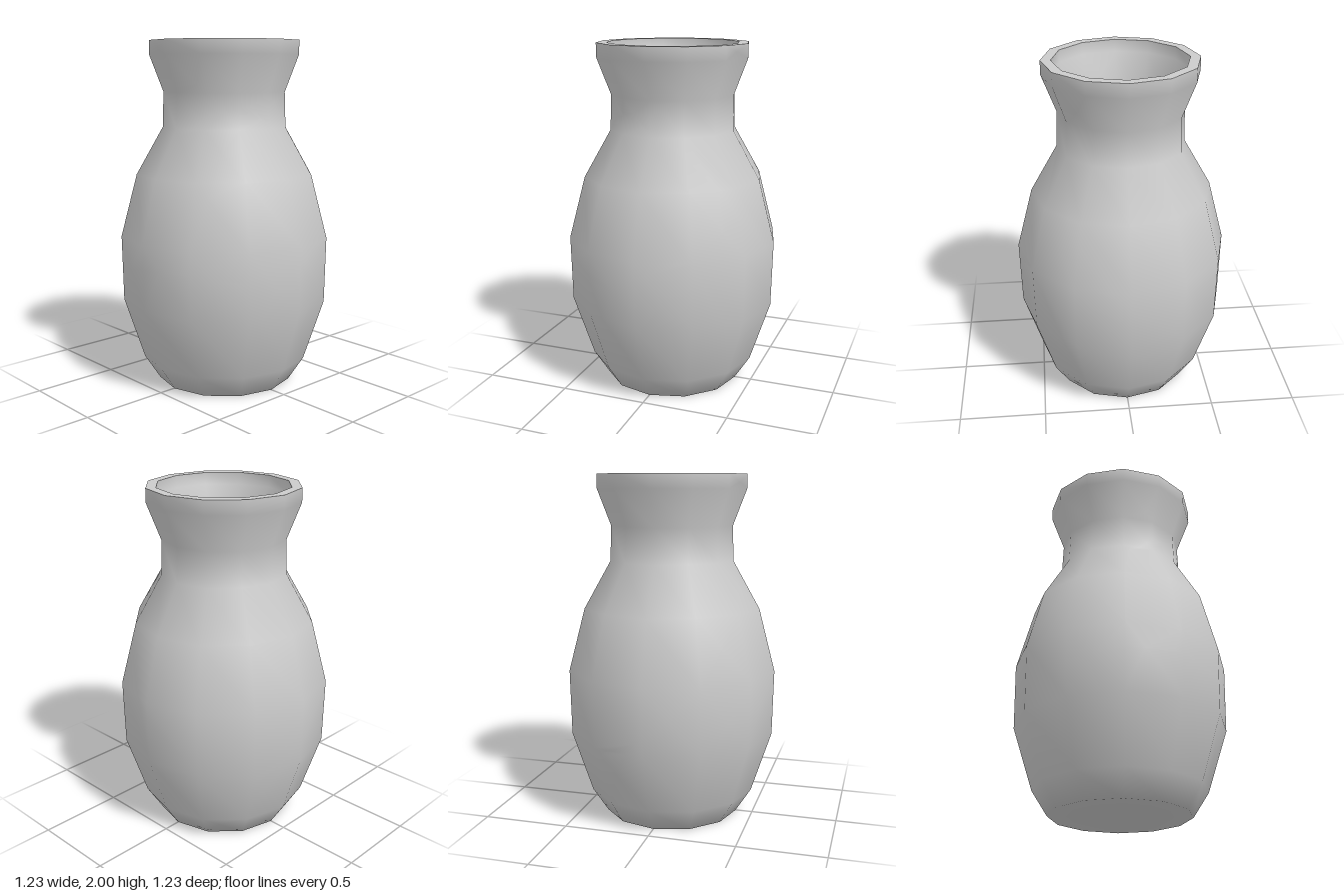
import * as THREE from 'three';
import { mergeGeometries } from 'three/addons/utils/BufferGeometryUtils.js';

const SIDES = 12;

// Profiles as [radius, height]; separate lathes keep the rim edges sharp
const OUTER = [[0, 0], [0.4, 0], [0.49, 0.14], [0.607, 0.5], [0.615, 0.88], [0.52, 1.24],
  [0.365, 1.51], [0.358, 1.71], [0.438, 1.92], [0.438, 2]];
const RIM = [[0.438, 2], [0.38, 2]];
const INNER = [[0.38, 2], [0.38, 1.93], [0.297, 1.72], [0.3, 1.5], [0.46, 1.21], [0.553, 0.87],
  [0.547, 0.51], [0.435, 0.17], [0.365, 0.06], [0, 0.06]];

function lathe(profile) {
  return new THREE.LatheGeometry(profile.map(([r, y]) => new THREE.Vector2(r, y)), SIDES);
}

// Crack planes, each through three points on the surface
function plane(a, b, c) {
  return new THREE.Plane().setFromCoplanarPoints(
    new THREE.Vector3(...a), new THREE.Vector3(...b), new THREE.Vector3(...c));
}
const neck = [-0.19, 1.61, 0.3], side = [0.48, 1.1, 0.25], back = [0.28, 0.46, -0.54];
const hip = [-0.53, 0.8, 0.28];
const low = plane([-0.41, 0.73, 0.44], [0.6, 0.43, 0.05], back);
const foot = plane([-0.29, 0.6, 0.53], [0.22, 0, 0.34], [0.3, 0.2, -0.5]);
const diagonal = plane(neck, side, back);
const lip = plane([0, 1.63, 0.36], [0.42, 2, 0.08], [-0.42, 2, -0.14]);
const flank = plane(hip, neck, back);
const belly = plane(hip, [0, 0.78, 0.61], side);

// Keep the half of each polygon on the given side of a plane; corners are [x,y,z,nx,ny,nz]
function clip(polygons, cut, sign) {
  const dist = (v) => sign * (cut.normal.x * v[0] + cut.normal.y * v[1] + cut.normal.z * v[2] + cut.constant);
  return polygons.map((poly) => poly.flatMap((v, i) => {
    const w = poly[(i + 1) % poly.length];
    const dv = dist(v), dw = dist(w);
    const kept = dv >= 0 ? [v] : [];
    if (dv * dw < 0) kept.push(v.map((n, k) => n + (w[k] - n) * dv / (dv - dw)));
    return kept;
  })).filter((poly) => poly.length > 2);
}

function toGeometry(polygons) {
  const position = [], normal = [];
  for (const poly of polygons) {
    for (let i = 1; i < poly.length - 1; i++) {
      for (const v of [poly[0], poly[i], poly[i + 1]]) {
        position.push(v[0], v[1], v[2]);
        normal.push(v[3], v[4], v[5]);
      }
    }
  }
  const geometry = new THREE.BufferGeometry();
  geometry.setAttribute('position', new THREE.Float32BufferAttribute(position, 3));
  geometry.setAttribute('normal', new THREE.Float32BufferAttribute(normal, 3));
  return geometry;
}

export function createModel() {
  const vase = new THREE.Group();
  vase.name = 'crackedVase';
  const material = new THREE.MeshStandardMaterial({ color: 0xcccccc });

  // Whole vase as a list of triangles
  const whole = mergeGeometries([OUTER, RIM, INNER].map(lathe)).toNonIndexed();
  const p = whole.attributes.position, n = whole.attributes.normal;
  const corner = (i) => [p.getX(i), p.getY(i), p.getZ(i), n.getX(i), n.getY(i), n.getZ(i)];
  const triangles = [];
  for (let i = 0; i < p.count; i += 3) triangles.push([corner(i), corner(i + 1), corner(i + 2)]);

  // Split along the cracks: each branch is [plane, piece above, piece below]
  function split(polygons, branch) {
    if (typeof branch === 'string') {
      const shard = new THREE.Mesh(toGeometry(polygons), material);
      shard.name = branch;
      vase.add(shard);
      return;
    }
    const [cut, above, below] = branch;
    const up = Math.sign(cut.normal.y) || 1;
    split(clip(polygons, cut, up), above);
    split(clip(polygons, cut, -up), below);
  }
  split(triangles, [low,
    [diagonal,
      [lip, 'backShard', 'frontRimShard'],
      [flank, 'leftShard', [belly, 'frontShard', 'bellyShard']]],
    [foot, 'baseShardA', 'baseShardB']]);

  return vase;
}
